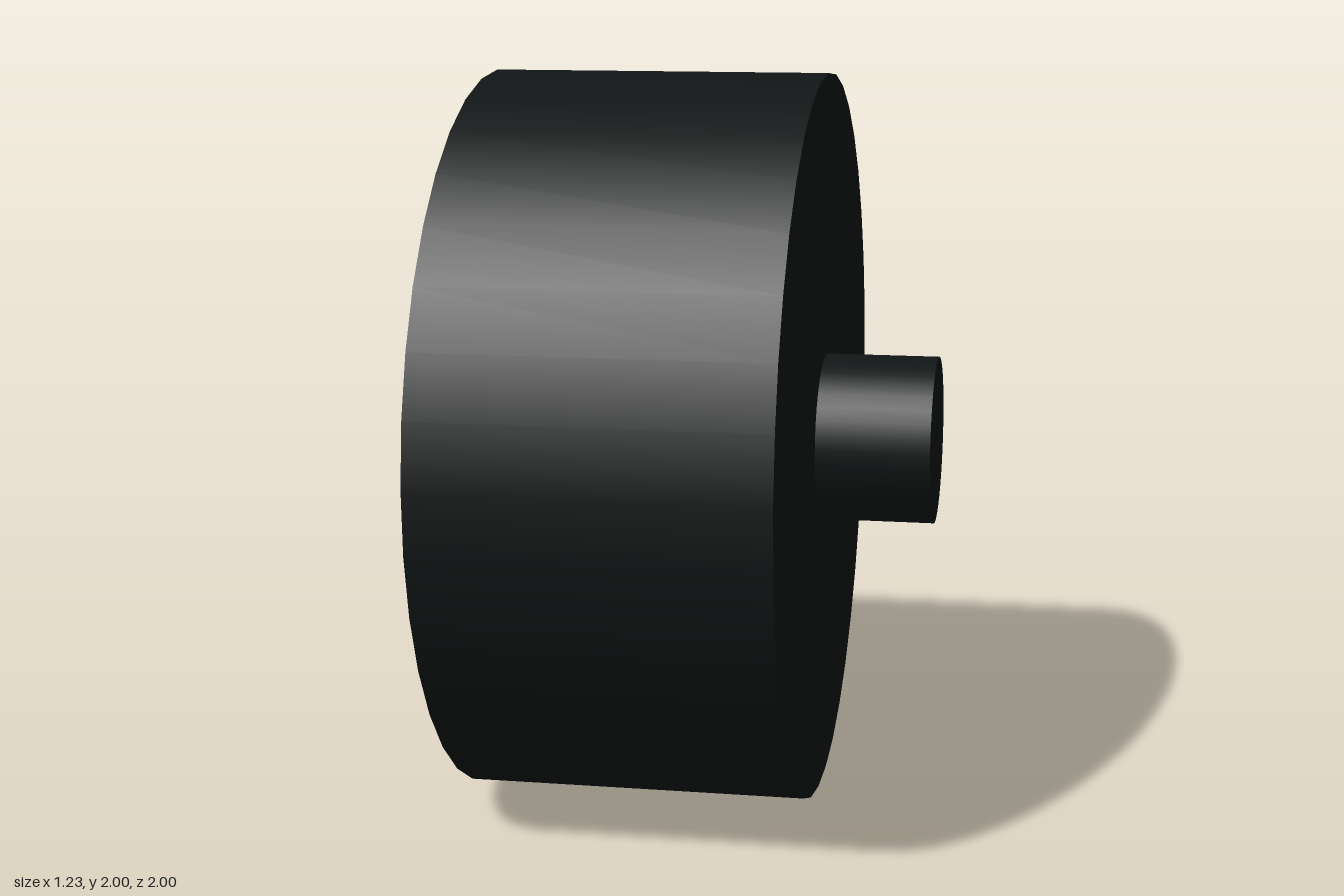
import * as THREE from 'three';

const SIDES = 37;
const RADIUS = 1.001;

// Solid disc lying along the x axis from x0 to x1, with one corner at the top
function drum(name, radius, x0, x1, centreY, material) {
  const geometry = new THREE.CylinderGeometry(radius, radius, x1 - x0, SIDES);
  geometry.rotateZ(-Math.PI / 2).rotateX(-Math.PI / 2);
  const mesh = new THREE.Mesh(geometry, material);
  mesh.name = name;
  mesh.position.set((x0 + x1) / 2, centreY, 0);
  return mesh;
}

export function createModel() {
  const group = new THREE.Group();
  group.name = 'wheel';
  const rubber = new THREE.MeshStandardMaterial({ color: 0x111515 });

  // The odd side count leaves a flat at the bottom, which rests on the ground
  const centreY = RADIUS * Math.cos(Math.PI / SIDES);

  // Wide tyre and the axle stub on its left side
  group.add(drum('tyre', RADIUS, -0.615, 0.305, centreY, rubber));
  group.add(drum('axle', 0.23, 0.305, 0.615, centreY, rubber));
  return group;
}
